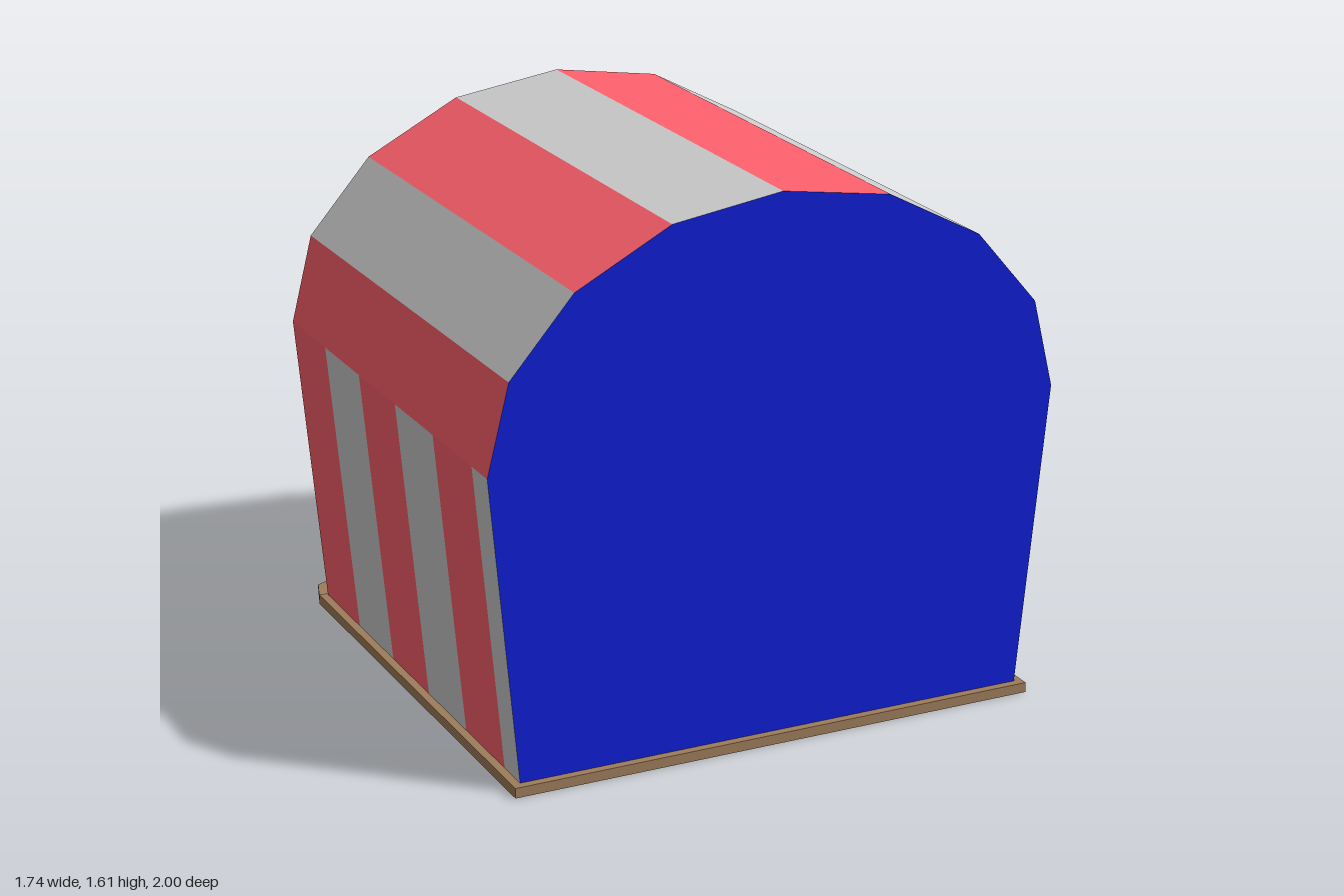
import * as THREE from 'three';

const RED = 0xfc606c, GREY = 0xcccccc, BLUE = 0x0f1fd2, BROWN = 0x9d7c5a, TEAL = 0x3aa587, YELLOW = 0xe6c21e;
const BACK = -0.49, FRONT = 0.975;

function mat(color) {
  return new THREE.MeshStandardMaterial({ color, flatShading: true, side: THREE.DoubleSide });
}

export function createModel() {
  const root = new THREE.Group();

  const add = (name, geo, color = GREY, x = 0, y = 0, z = 0, parent = root) => {
    const m = new THREE.Mesh(geo, mat(color));
    m.name = name;
    m.position.set(x, y, z);
    parent.add(m);
    return m;
  };
  const box = (name, w, h, d, x, y, z, color = GREY, parent = root) =>
    add(name, new THREE.BoxGeometry(w, h, d), color, x, y, z, parent);
  const shapeOf = pts => new THREE.Shape(pts.map(p => new THREE.Vector2(p[0], p[1])));
  const extrude = (pts, depth) => new THREE.ExtrudeGeometry(shapeOf(pts), { depth, bevelEnabled: false });
  // flat four-cornered cloth panel
  const quad = (name, a, b, c, d, color) => {
    const g = new THREE.BufferGeometry();
    g.setAttribute('position', new THREE.Float32BufferAttribute([a, b, c, d].flat(), 3));
    g.setIndex([0, 1, 2, 0, 2, 3]);
    g.computeVertexNormals();
    return add(name, g, color);
  };

  // floor slab and the patch of trodden earth in front of the counter
  box('floor', 1.62, 0.03, 1.5, 0, 0.015, 0.25, BROWN);
  const half = [[0.81, 0.5], [0.78, 0.59], [0.7, 0.63], [0.64, 0.81], [0.56, 0.91], [0.45, 0.98], [0.33, 1]];
  const earth = extrude([...half, ...half.map(p => [-p[0], p[1]]).reverse()], 0.02);
  earth.rotateX(-Math.PI / 2);
  add('earthPatch', earth, BROWN, 0, 0.005, 0);
  for (const [x, z, r] of [[-0.56, -0.84, 0.025], [0.6, -0.59, 0.042], [0.52, -0.57, 0.022]]) {
    add('pebble', new THREE.SphereGeometry(r, 8, 6), GREY, x, 0.025, z).scale.y = 0.5;
  }

  // arch of the tent, from the +x eave over the ridge to the -x eave
  const side = [[0.87, 0.93], [0.805, 1.19], [0.615, 1.41], [0.33, 1.56]];
  const arch = [...side, [0, 1.61], ...side.map(p => [-p[0], p[1]]).reverse()];
  for (let i = 0; i < arch.length - 1; i++) {
    const [a, b] = [arch[i], arch[i + 1]];
    quad('roofPanel', [...a, BACK], [...b, BACK], [...b, FRONT], [...a, FRONT], i % 2 ? RED : GREY);
  }

  // striped side walls, leaning outwards
  const cuts = [BACK, -0.22, 0.05, 0.325, 0.6, 0.87, FRONT];
  for (const s of [1, -1]) {
    for (let i = 0; i < cuts.length - 1; i++) {
      const [z0, z1] = [cuts[i], cuts[i + 1]];
      quad('sideStripe', [s * 0.785, 0.03, z0], [s * 0.87, 0.93, z0], [s * 0.87, 0.93, z1], [s * 0.785, 0.03, z1], i % 2 ? GREY : RED);
    }
  }

  // closed end wall
  add('endWall', new THREE.ShapeGeometry(shapeOf([[0.785, 0.03], ...arch, [-0.785, 0.03]])), BLUE, 0, 0, FRONT);

  // scalloped valance over the opening
  const hem = [0.93, 1.03, 1.15, 1.28, 1.32, 1.28, 1.15, 1.03, 0.93];
  for (let i = 0; i < arch.length - 1; i++) {
    const [a, b] = [arch[i], arch[i + 1]];
    const lerp = t => [a[0] + (b[0] - a[0]) * t, hem[i] + (hem[i + 1] - hem[i]) * t - 0.045];
    const pts = [a, b, [b[0], hem[i + 1]], lerp(0.7), lerp(0.3), [a[0], hem[i]]];
    add('valance', new THREE.ShapeGeometry(shapeOf(pts)), i % 2 ? RED : GREY, 0, 0, BACK);
  }

  // counter
  box('counterTop', 1.56, 0.04, 0.18, 0, 0.38, -0.43);
  box('counterPanel', 1.56, 0.33, 0.02, 0, 0.195, -0.45);
  box('counterPost', 0.05, 0.33, 0.05, 0.52, 0.195, -0.47);

  // sloping trough behind the counter
  const trough = new THREE.Group();
  trough.name = 'trough';
  trough.position.set(-0.5, 0.44, -0.08);
  trough.rotation.x = -0.28;
  root.add(trough);
  box('troughBed', 0.2, 0.02, 0.5, 0, 0, 0, GREY, trough);
  for (const s of [1, -1]) box('troughSide', 0.02, 0.06, 0.5, s * 0.1, 0.02, 0, GREY, trough);
  box('troughLeg', 0.04, 0.4, 0.04, -0.5, 0.23, -0.08);

  // crossbeam with hanging rods
  box('crossBeam', 1.42, 0.05, 0.06, 0, 1.2, 0.44);
  box('hangingRod', 0.02, 0.5, 0.02, -0.49, 0.95, 0.44, 0x222222);
  box('hangingRod', 0.02, 0.45, 0.02, 0, 0.97, 0.46, 0x222222);

  // round target with red domes and teal fins
  const target = new THREE.Group();
  target.name = 'roundTarget';
  target.position.set(0, 0.58, 0.6);
  root.add(target);
  add('targetDisc', new THREE.CylinderGeometry(0.36, 0.36, 0.05, 16), GREY, 0, 0, 0, target).rotation.x = Math.PI / 2;
  for (let i = 0; i < 8; i++) {
    const t = i * Math.PI / 4 + 0.2;
    const dome = add('targetDome', new THREE.SphereGeometry(0.05, 10, 8), RED, 0.26 * Math.cos(t), 0.26 * Math.sin(t), -0.025, target);
    dome.scale.z = 0.6;
  }
  for (const s of [1, -1]) {
    add('targetFin', extrude([[0.2, s * 0.24], [0.42, s * 0.34], [0.34, s * 0.08]], 0.03), TEAL, 0, 0, 0.03, target);
  }

  // corner post with a star sign on a teal plate
  add('cornerPost', new THREE.CylinderGeometry(0.035, 0.035, 0.55, 8), GREY, 0.69, 0.305, 0.79);
  const plate = add('signPlate', new THREE.CylinderGeometry(0.13, 0.13, 0.08, 6), TEAL, 0.64, 0.37, 0.63);
  plate.rotation.x = Math.PI / 2;
  const star = [];
  for (let i = 0; i < 24; i++) {
    const r = i % 2 ? 0.08 : 0.15, t = i * Math.PI / 12;
    star.push([r * Math.cos(t), r * Math.sin(t)]);
  }
  add('starSign', extrude(star, 0.02), YELLOW, 0.64, 0.37, 0.56);

  return root;
}
